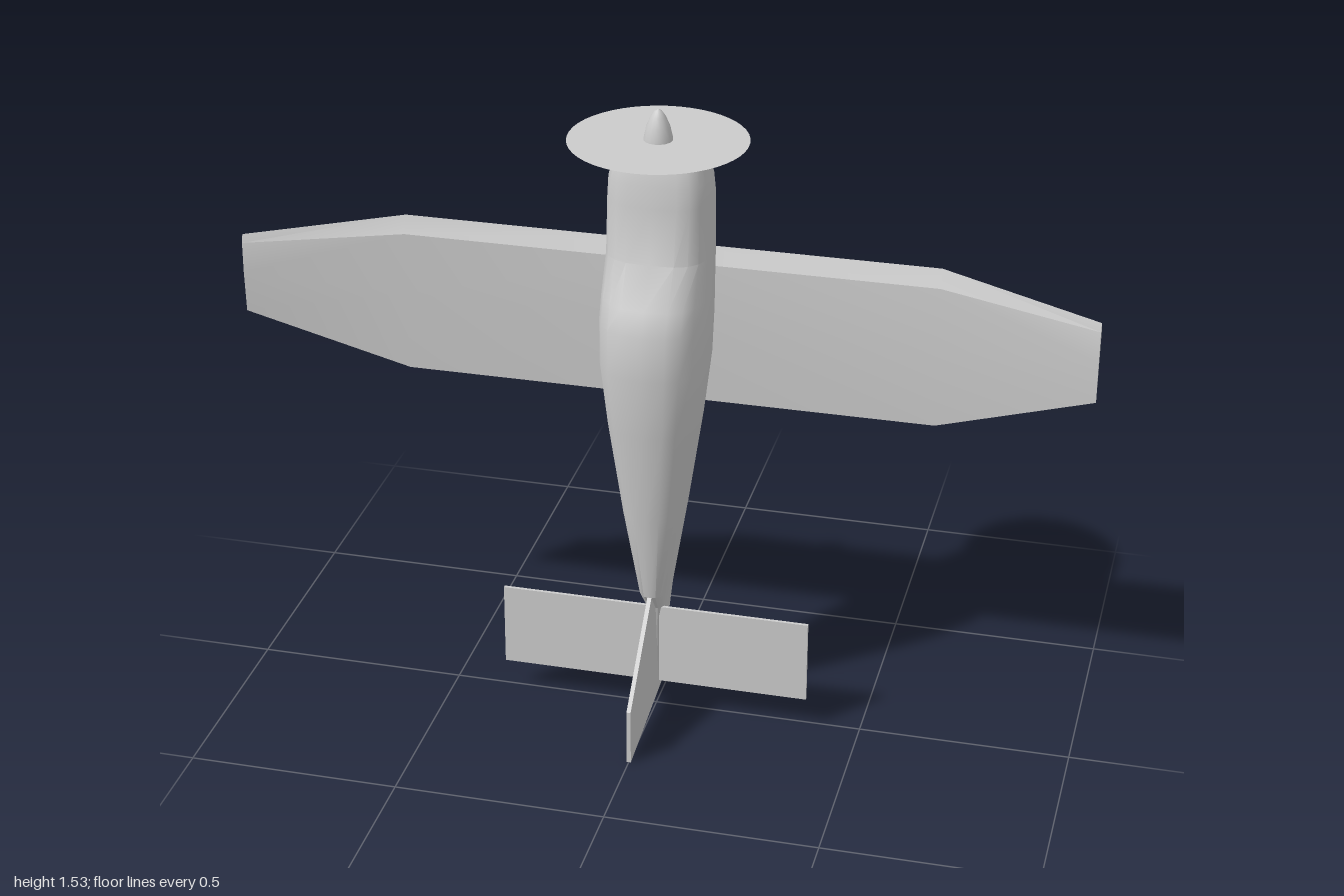
import * as THREE from 'three';
import { toCreasedNormals } from 'three/addons/utils/BufferGeometryUtils.js';

const material = new THREE.MeshStandardMaterial({ color: 0xcccccc, side: THREE.DoubleSide });

function part(name, geometry, parent) {
  const mesh = new THREE.Mesh(geometry, material);
  mesh.name = name;
  parent.add(mesh);
  return mesh;
}

// Closed skin through rings of [x, y, z] points, capped at both ends
function loft(rings, crease) {
  const n = rings[0].length;
  const index = [];
  for (let r = 0; r < rings.length - 1; r++) {
    for (let i = 0; i < n; i++) {
      const j = (i + 1) % n;
      const a = r * n + i, b = r * n + j;
      index.push(a, b, b + n, a, b + n, a + n);
    }
  }
  const last = (rings.length - 1) * n;
  for (let i = 1; i < n - 1; i++) {
    index.push(0, i + 1, i, last, last + i, last + i + 1);
  }
  // Turn the faces outward if the rings run the other way
  const points = rings.flat().map((p) => new THREE.Vector3(...p));
  let volume = 0;
  for (let i = 0; i < index.length; i += 3) {
    const [a, b, c] = [0, 1, 2].map((k) => points[index[i + k]]);
    volume += a.dot(b.clone().cross(c));
  }
  if (volume < 0) index.reverse();
  const geometry = new THREE.BufferGeometry().setFromPoints(points);
  geometry.setIndex(index);
  return toCreasedNormals(geometry, crease);
}

// Superellipse section at height y, with separate front and back depths
function section(y, halfWidth, zFront, zBack, power, count = 20) {
  const mid = zBack + (zFront - zBack) * 0.45;
  const ring = [];
  for (let i = 0; i < count; i++) {
    const t = (i / count) * Math.PI * 2;
    const c = Math.cos(t), s = Math.sin(t);
    const depth = s > 0 ? zFront - mid : mid - zBack;
    ring.push([
      halfWidth * Math.sign(c) * Math.abs(c) ** (2 / power),
      y,
      mid + depth * Math.sign(s) * Math.abs(s) ** (2 / power),
    ]);
  }
  return ring;
}

function addWing(side, parent) {
  // Root airfoil as [y, z]: leading edge, upper side, trailing edge, lower side
  const root = [[1.172, -0.118], [1.13, -0.1], [0.98, -0.097], [0.782, -0.107], [1.12, -0.137]];
  const tip = [[1.125, -0.02], [1.105, -0.014], [1.03, -0.013], [0.93, -0.018], [1.1, -0.03]];
  const ring = (x, profile) => profile.map(([y, z]) => [side * x, y, z]);
  const name = side > 0 ? 'leftWing' : 'rightWing';
  part(name, loft([ring(0, root), ring(0.63, root), ring(1, tip)], 0.35), parent);
}

function addLandingGear(name, x, y, z, strutBase, parent) {
  const gear = new THREE.Group();
  gear.name = name;
  gear.position.set(x, y, z);
  parent.add(gear);

  // Teardrop fairing, rounded ahead and pointed behind
  const pod = [
    [0.066, 0.008, 0.012, -0.012], [0.055, 0.018, 0.024, -0.026], [0.02, 0.025, 0.03, -0.03],
    [-0.012, 0.027, 0.033, -0.03], [-0.035, 0.022, 0.028, -0.024], [-0.142, 0.001, 0.006, 0.004],
  ];
  part('wheelFairing', loft(pod.map(([py, w, f, b]) => section(py, w, f, b, 2.4, 10)), 0.5), gear);

  const wheel = part('wheel', new THREE.CylinderGeometry(0.036, 0.036, 0.028, 14), gear);
  wheel.rotation.z = Math.PI / 2;
  wheel.position.z = -0.011;

  const length = strutBase - z;
  const strut = part('strut', new THREE.BoxGeometry(0.012, 0.046, length), gear);
  strut.position.set(0, -0.008, length / 2);
}

export function createModel() {
  const plane = new THREE.Group();
  plane.name = 'aeroplane';

  // Fuselage: height, half width, front z (upper deck), back z (belly), squareness
  const fuselage = [
    [1.456, 0.08, 0.02, -0.062, 3], [1.435, 0.1, 0.029, -0.085, 3.2], [1.37, 0.115, 0.044, -0.125, 3.2],
    [1.32, 0.118, 0.05, -0.138, 3.2], [1.19, 0.12, 0.065, -0.142, 3], [1.1, 0.123, 0.12, -0.14, 2.8],
    [1.045, 0.125, 0.141, -0.136, 2.7], [0.94, 0.123, 0.148, -0.124, 2.7], [0.79, 0.106, 0.134, -0.107, 2.7],
    [0.56, 0.072, 0.106, -0.085, 2.7], [0.335, 0.035, 0.07, -0.064, 2.6], [0.285, 0.028, 0.03, -0.06, 2.4],
    [0.05, 0.004, 0.0, -0.036, 2.2],
  ];
  part('fuselage', loft(fuselage.map((f) => section(...f)), 0.5), plane);

  // Air intake under the nose
  const intake = [[1.442, 0.03, -0.05, -0.115, 4], [1.4, 0.034, -0.05, -0.128, 4], [1.3, 0.03, -0.05, -0.138, 4]];
  part('chinIntake', loft(intake.map((f) => section(...f, 12)), 0.5), plane);

  // Propeller disc and spinner
  const disc = part('propellerDisc', new THREE.CircleGeometry(0.204, 48), plane);
  disc.rotation.x = -Math.PI / 2;
  disc.position.set(0, 1.461, -0.016);
  const spinnerProfile = [[0.033, 1.45], [0.033, 1.465], [0.027, 1.492], [0.017, 1.516], [0.008, 1.529], [0, 1.533]];
  const spinner = part(
    'spinner',
    new THREE.LatheGeometry(spinnerProfile.map(([r, y]) => new THREE.Vector2(r, y)), 16),
    plane
  );
  spinner.position.z = -0.016;

  // Wings, tailplanes and main gear, mirrored
  for (const side of [1, -1]) {
    const label = side > 0 ? 'left' : 'right';
    addWing(side, plane);
    const tail = part(label + 'Tailplane', new THREE.BoxGeometry(0.36, 0.205, 0.008), plane);
    tail.position.set(side * 0.192, 0.183, 0.019);
    addLandingGear(label + 'MainGear', side * 0.285, 0.972, -0.203, -0.12, plane);
  }
  addLandingGear('noseGear', 0, 1.33, -0.225, -0.12, plane);

  // Fin, drawn as [z, y]
  const outline = [[0.068, 0.337], [0.27, 0.14], [0.27, 0.003], [-0.035, 0.045], [-0.05, 0.24], [0, 0.33]];
  const fin = new THREE.ExtrudeGeometry(new THREE.Shape(outline.map((p) => new THREE.Vector2(...p))), {
    depth: 0.01,
    bevelEnabled: false,
  });
  fin.translate(0, 0, -0.005);
  fin.rotateY(-Math.PI / 2);
  part('fin', fin, plane);

  return plane;
}
